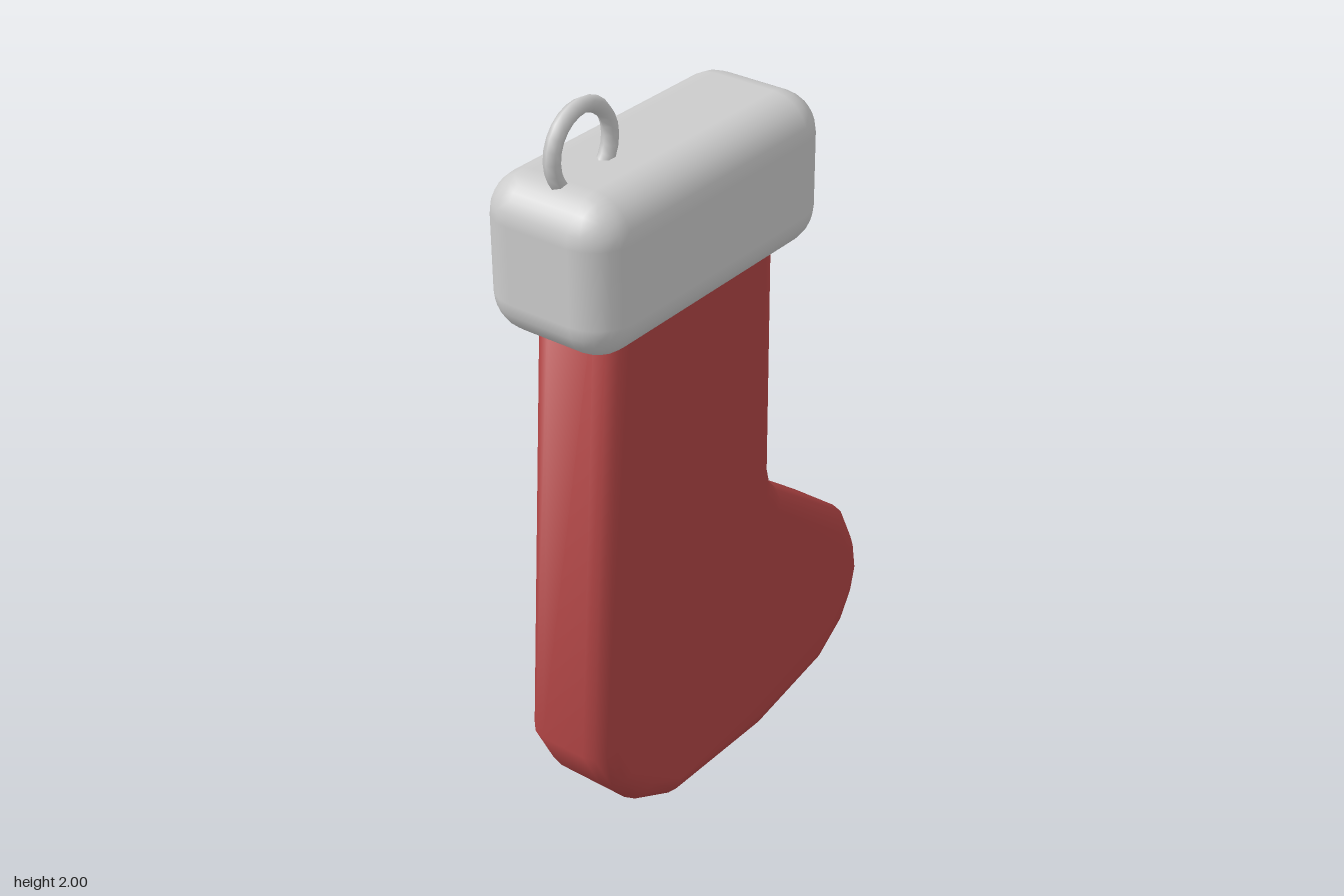
import * as THREE from 'three';
import { mergeVertices } from 'three/addons/utils/BufferGeometryUtils.js';
import { RoundedBoxGeometry } from 'three/addons/geometries/RoundedBoxGeometry.js';

const red = new THREE.MeshStandardMaterial({ color: 0xb04444 });
const grey = new THREE.MeshStandardMaterial({ color: 0xcccccc });

function addPart(group, name, geometry, material, x = 0, y = 0, z = 0) {
  const mesh = new THREE.Mesh(geometry, material);
  mesh.name = name;
  mesh.position.set(x, y, z);
  group.add(mesh);
}

// Side outline of the sock, counter-clockwise from the top of the heel side
const outline = [
  [-0.47, 1.54], [-0.555, 0.32], [-0.49, 0.19], [-0.4, 0.09], [-0.26, 0.015],
  [0.11, 0.003], [0.4, 0.055], [0.51, 0.13], [0.56, 0.21], [0.58, 0.29],
  [0.565, 0.38], [0.51, 0.495], [0.21, 0.72], [0.17, 0.77], [0.155, 0.83], [0.155, 1.54],
];

// Extruded outline with rounded rims, welded for smooth shading
function sockGeometry() {
  const shape = new THREE.Shape(outline.map(([x, y]) => new THREE.Vector2(x, y)));
  const halfDepth = 0.124, bevel = 0.06;
  const geometry = new THREE.ExtrudeGeometry(shape, {
    depth: 2 * (halfDepth - bevel),
    bevelThickness: bevel,
    bevelSize: bevel,
    bevelOffset: -bevel,
    bevelSegments: 3,
  });
  geometry.translate(0, 0, bevel - halfDepth);
  geometry.deleteAttribute('normal');
  geometry.deleteAttribute('uv');
  const welded = mergeVertices(geometry, 1e-4);
  welded.computeVertexNormals();
  return welded;
}

export function createModel() {
  const group = new THREE.Group();
  group.name = 'stocking';

  addPart(group, 'sock', sockGeometry(), red);
  // Thick rounded cuff
  addPart(group, 'cuff', new RoundedBoxGeometry(0.85, 0.39, 0.37, 3, 0.1), grey, -0.155, 1.635);
  // Hanging ring, sunk into the cuff
  addPart(group, 'hangingRing', new THREE.TorusGeometry(0.098, 0.02, 6, 24), grey, -0.42, 1.882);

  return group;
}
